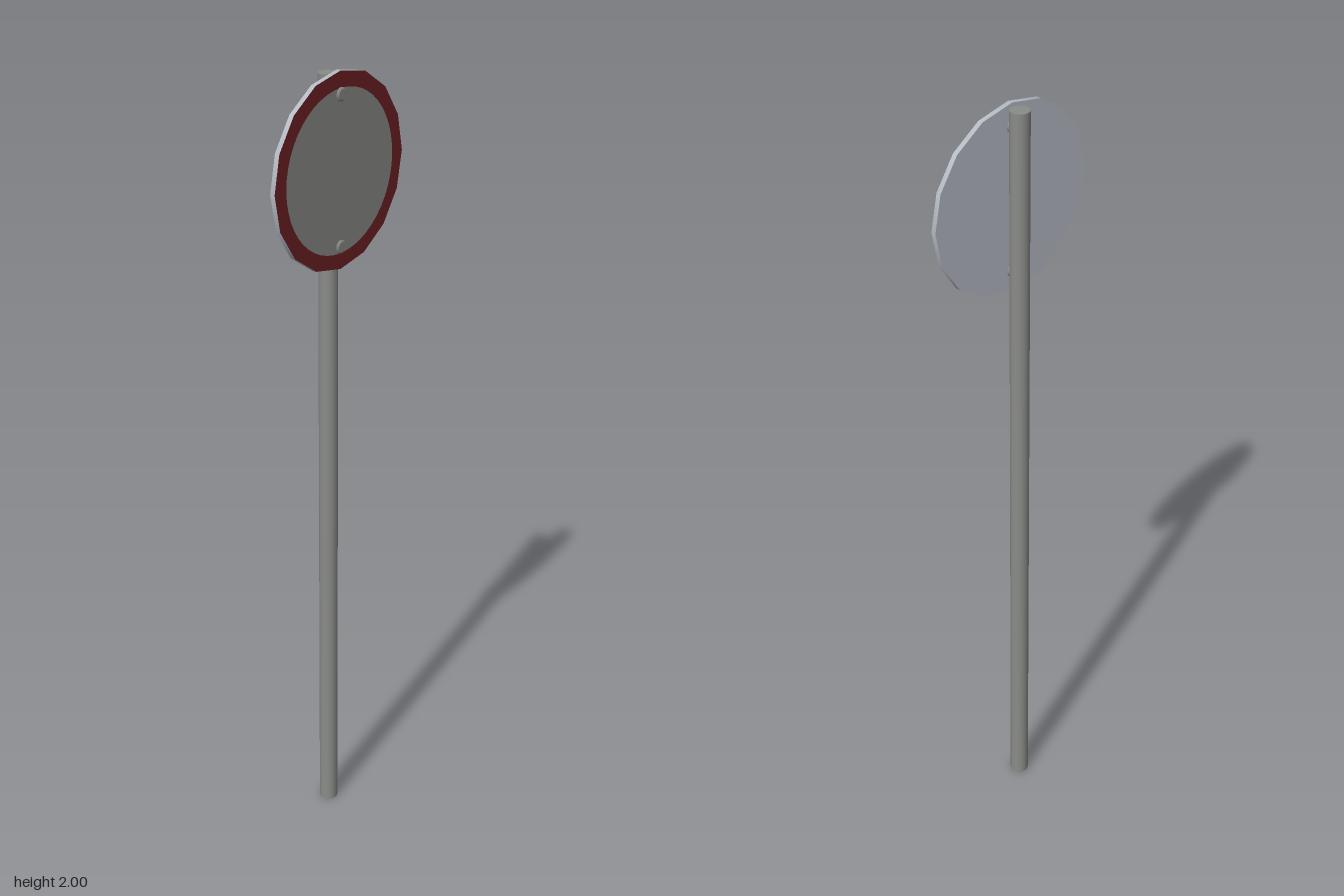
import * as THREE from 'three';

export function createModel() {
  const model = new THREE.Group();
  const mat = (name, color) => {
    const m = new THREE.MeshStandardMaterial({ color });
    m.name = name;
    return m;
  };
  const grey = mat('steel grey', 0x8a8c88);
  const pale = mat('pale metal', 0xb4bac3);
  const red = mat('dark red', 0x6e2023);

  const add = (name, geometry, material, x, y, z) => {
    const mesh = new THREE.Mesh(geometry, material);
    mesh.name = name;
    mesh.position.set(x, y, z);
    model.add(mesh);
    return mesh;
  };
  // Cylinder whose axis runs along z, from zBack to zFront
  const disc = (name, rFront, rBack, zBack, zFront, sides, y, material) =>
    add(name, new THREE.CylinderGeometry(rFront, rBack, zFront - zBack, sides).rotateX(Math.PI / 2),
      material, 0, y, (zBack + zFront) / 2);

  // Round post
  add('post', new THREE.CylinderGeometry(0.024, 0.024, 1.99, 16), grey, 0, 0.995, -0.0105);

  // Sixteen-sided plate: pale edge and back, red front
  const signY = 1.762;
  disc('signPlate', 0.238, 0.238, 0.0137, 0.0267, 16, signY, [pale, red, pale]);

  // Grey field inside the red border
  add('signField', new THREE.CircleGeometry(0.198, 48), grey, 0, signY, 0.0275);

  // Bolts through the plate, with a chamfered head in front and a spacer behind
  for (const y of [1.945, 1.58]) {
    disc('boltHead', 0.013, 0.017, 0.0295, 0.0325, 12, y, grey);
    disc('boltShank', 0.017, 0.017, 0.0265, 0.0295, 12, y, grey);
    disc('boltSpacer', 0.017, 0.017, 0.004, 0.014, 12, y, grey);
  }
  return model;
}
